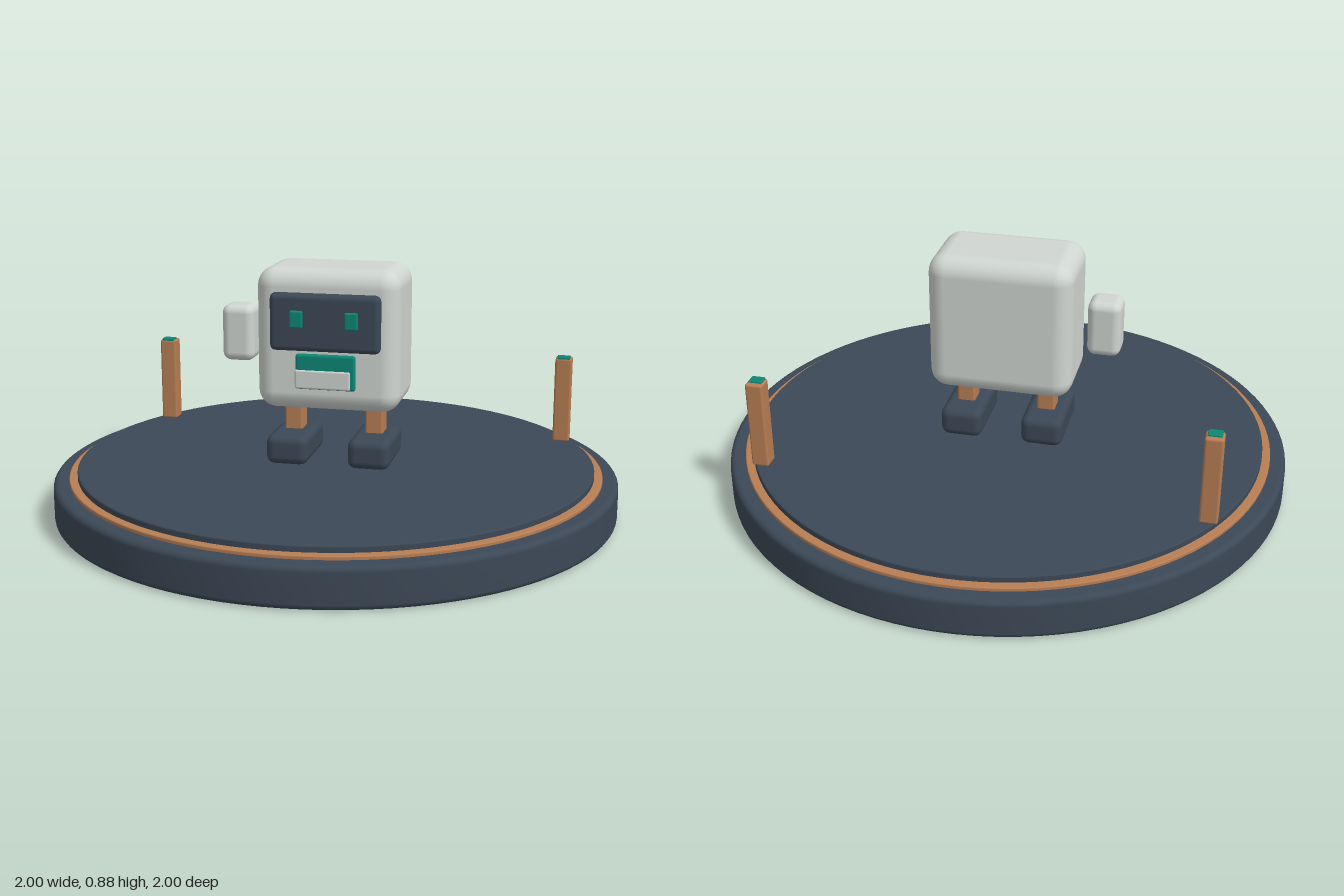
import * as THREE from 'three';
import { RoundedBoxGeometry } from 'three/addons/geometries/RoundedBoxGeometry.js';

const mat = (name, color) => Object.assign(new THREE.MeshStandardMaterial({ color }), { name });

export function createModel() {
  const model = new THREE.Group();
  model.name = 'robotOnStand';
  const slate = mat('slate', 0x3c4856);
  const shell = mat('paleShell', 0xd0d6d1);
  const copper = mat('copper', 0xb87e53);
  const teal = mat('teal', 0x0c8775);

  const add = (name, geometry, material, parent = model) => {
    const mesh = new THREE.Mesh(geometry, material);
    mesh.name = name;
    parent.add(mesh);
    return mesh;
  };
  // Rounded box given by its [min, max] range on each axis
  const block = (name, material, [x0, x1], [y0, y1], [z0, z1], radius, segments = 2, parent = model) => {
    const g = new RoundedBoxGeometry(x1 - x0, y1 - y0, z1 - z0, segments, radius);
    g.translate((x0 + x1) / 2, (y0 + y1) / 2, (z0 + z1) / 2);
    return add(name, g, material, parent);
  };
  // Flat turned disc with a softened rim
  const disc = (name, material, r, y0, y1, bevel) => {
    const pts = [new THREE.Vector2(0, y0)];
    for (const [cy, start] of [[y0 + bevel, -Math.PI / 2], [y1 - bevel, 0]]) {
      for (let i = 0; i <= 4; i++) {
        const a = start + (i / 4) * Math.PI / 2;
        pts.push(new THREE.Vector2(r - bevel + bevel * Math.cos(a), cy + bevel * Math.sin(a)));
      }
    }
    pts.push(new THREE.Vector2(0, y1));
    return add(name, new THREE.LatheGeometry(pts, 96), material);
  };

  // Stand
  disc('standBase', slate, 1, 0, 0.14, 0.02);
  disc('trimRing', copper, 0.945, 0.135, 0.152, 0.004);
  disc('standTop', slate, 0.916, 0.14, 0.173, 0.005);

  // Torso and single raised arm
  block('body', shell, [-0.253, 0.253], [0.38, 0.877], [-0.16, 0.16], 0.065, 3);
  block('rightArm', shell, [-0.405, -0.288], [0.523, 0.724], [-0.058, 0.058], 0.03, 3);

  // Face
  const face = new THREE.Group();
  face.name = 'face';
  model.add(face);
  block('facePlate', slate, [-0.193, 0.193], [0.597, 0.797], [0.14, 0.19], 0.02, 2, face);
  for (const x of [-0.096, 0.096]) {
    block('eye', teal, [x - 0.023, x + 0.023], [0.68, 0.74], [0.18, 0.2], 0.006, 2, face);
  }
  block('mouth', teal, [-0.105, 0.105], [0.462, 0.586], [0.14, 0.174], 0.01, 2, face);
  block('mouthPanel', shell, [-0.107, 0.09], [0.464, 0.532], [0.15, 0.178], 0.008, 2, face);

  // Legs, feet and the two back posts
  for (const side of [-1, 1]) {
    const label = side > 0 ? 'left' : 'right';
    const x = side * 0.146;
    block(label + 'Leg', copper, [x - 0.032, x + 0.032], [0.26, 0.41], [-0.037, 0.04], 0.008);
    block(label + 'Foot', slate, [x - 0.075, x + 0.075], [0.178, 0.284], [-0.125, 0.155], 0.03);
    const px = side * 0.774;
    block(label + 'Post', copper, [px - 0.031, px + 0.031], [0.17, 0.488], [-0.462, -0.402], 0.008);
    block(label + 'PostLight', teal, [px - 0.024, px + 0.024], [0.475, 0.494], [-0.444, -0.404], 0.004);
  }
  return model;
}
